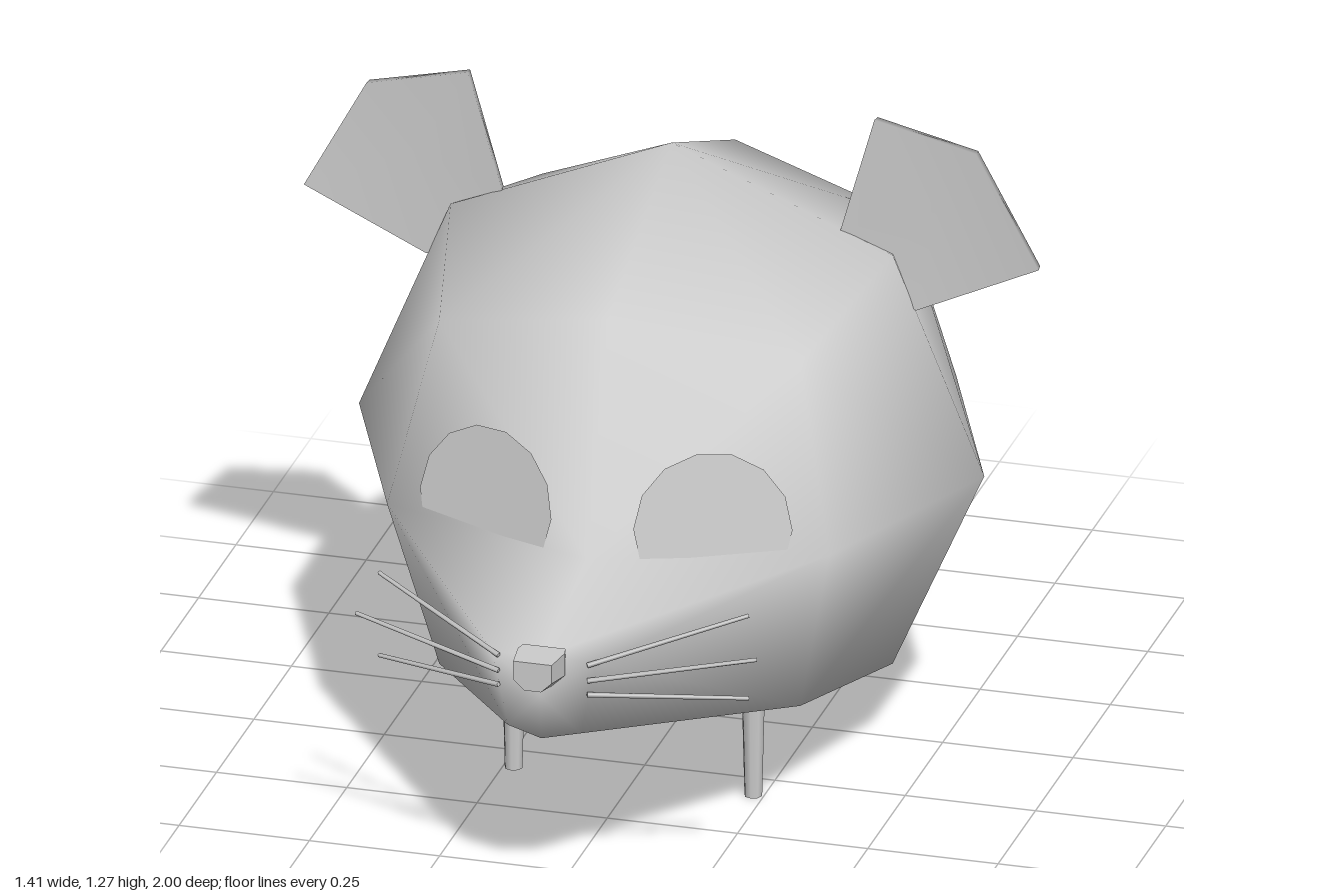
import * as THREE from 'three';
import { mergeVertices, mergeGeometries } from 'three/addons/utils/BufferGeometryUtils.js';

const V = (x, y, z) => new THREE.Vector3(x, y, z);
const mat = new THREE.MeshStandardMaterial({ color: 0xcccccc });
const flat = new THREE.MeshStandardMaterial({ color: 0xcccccc, flatShading: true });
const thin = new THREE.MeshStandardMaterial({ color: 0xcccccc, side: THREE.DoubleSide });

// Skin between rings of points; each ring runs counterclockwise seen from the first ring's end.
function loft(rings) {
  const n = rings[0].length, index = [];
  for (let i = 0; i < rings.length - 1; i++) {
    for (let j = 0; j < n; j++) {
      const k = (j + 1) % n;
      const a = i * n + j, b = i * n + k, c = a + n, d = b + n;
      if (!rings[i][j].equals(rings[i][k])) index.push(a, c, b);
      if (!rings[i + 1][j].equals(rings[i + 1][k])) index.push(b, c, d);
    }
  }
  const g = new THREE.BufferGeometry().setFromPoints(rings.flat());
  g.setIndex(index);
  return g;
}

function smooth(geometry) {
  const g = mergeVertices(geometry, 1e-4);
  g.computeVertexNormals();
  return g;
}

const point = (p, n) => Array.from({ length: n }, () => p.clone());

function add(parent, name, geometry, material = mat) {
  const mesh = new THREE.Mesh(geometry, material);
  mesh.name = name;
  parent.add(mesh);
  return mesh;
}

// Tapered rod from a to b
function rod(parent, name, a, b, ra, rb, sides) {
  const dir = b.clone().sub(a);
  const mesh = add(parent, name, new THREE.CylinderGeometry(rb, ra, dir.length(), sides));
  mesh.position.copy(a).add(b).multiplyScalar(0.5);
  mesh.quaternion.setFromUnitVectors(V(0, 1, 0), dir.normalize());
}

// A cube corner, edge middle or face middle rounded onto the ball; flattened below, blunted in front
function onBall(x, y, z) {
  const p = V(x, y, z).setLength(0.6).add(V(0, 0.58, 0.07));
  if (y < 0 && x === 0 && z === 0) p.y = 0.135;
  else if (y < 0 && (x === 0 || z === 0)) p.y = 0.18;
  if (z > 0 && x === 0 && y === 0) p.z = 0.635;
  return p;
}

// Rounded cube whose lower front is drawn out into a snout
function bodyGeometry() {
  const points = [], index = [];
  for (let axis = 0; axis < 3; axis++) {
    for (const s of [1, -1]) {
      const corner = (u, v) => {
        const c = [0, 0, 0];
        c[axis] = s;
        c[(axis + 1) % 3] = s > 0 ? u : v;
        c[(axis + 2) % 3] = s > 0 ? v : u;
        return onBall(...c);
      };
      const rim = (k) => corner(Math.round(Math.cos(k * Math.PI / 4)), Math.round(Math.sin(k * Math.PI / 4)));
      const triangles = axis === 2 && s > 0 ? 4 : 8; // the front keeps its upper half
      for (let k = 0; k < triangles; k++) {
        index.push(points.length, points.length + 1, points.length + 2);
        points.push(corner(0, 0), rim(k), rim(k + 1));
      }
    }
  }
  const ball = new THREE.BufferGeometry().setFromPoints(points);
  ball.setIndex(index);

  const base = [onBall(1, 0, 1), onBall(0, 0, 1), onBall(-1, 0, 1),
    onBall(-1, -1, 1), onBall(0, -1, 1), onBall(1, -1, 1)];
  const tip = [V(0.1, 0.505, 0.92), V(0, 0.515, 0.94), V(-0.1, 0.505, 0.92),
    V(-0.07, 0.36, 0.92), V(0, 0.35, 0.94), V(0.07, 0.36, 0.92)];
  const snout = loft([point(V(0, 0.44, 0.95), 6), tip, base]);
  return smooth(mergeGeometries([ball, snout]));
}

// Thin six-sided dish, open to the front
function earGeometry(side) {
  const outline = [[0.39, 1.275], [0.325, 1.045], [0.36, 0.94], [0.47, 0.9], [0.705, 1.01], [0.585, 1.23]];
  const ring = (s, z) => {
    const r = outline.map(([x, y]) => V(side * (0.5 + (x - 0.5) * s), 1.09 + (y - 1.09) * s, z));
    return side < 0 ? r.reverse() : r;
  };
  return smooth(loft([ring(0, 0.04), ring(1, 0.073), ring(0.99, 0.055), ring(0.5, 0.016), ring(0, 0.012)]));
}

// Small shield, bevelled towards the front
function noseGeometry() {
  const shield = [[0.045, 0], [-0.045, 0], [-0.045, -0.045], [-0.02, -0.069], [0.02, -0.069], [0.045, -0.045]];
  const ring = (s, z) => shield.map(([x, y]) => V(x * s, 0.527 + y * s, z));
  return loft([point(V(0, 0.5, 1), 6), ring(0.82, 1), ring(1, 0.94), ring(0.9, 0.92)]);
}

function tailGeometry() {
  // z, y, half width, half height
  const path = [[-1, 0.212, 0, 0], [-0.73, 0.217, 0.02, 0.02], [-0.61, 0.278, 0.029, 0.03],
    [-0.52, 0.302, 0.036, 0.035], [-0.41, 0.367, 0.038, 0.036], [-0.36, 0.395, 0.038, 0.036]];
  return loft(path.map(([z, y, w, h]) =>
    [V(-w, y - h, z), V(-w, y + h, z), V(w, y + h, z), V(w, y - h, z)]));
}

export function createModel() {
  const model = new THREE.Group();
  model.name = 'mouse';
  add(model, 'body', bodyGeometry());
  add(model, 'nose', noseGeometry(), flat);
  add(model, 'tail', tailGeometry(), flat);

  for (const side of [1, -1]) {
    const label = side > 0 ? 'left' : 'right';
    add(model, label + 'Ear', earGeometry(side));

    // Disc standing on the face, its lower half sunk in the snout
    const eye = add(model, label + 'Eye', new THREE.CircleGeometry(0.147, 14), thin);
    eye.quaternion.setFromUnitVectors(V(0, 0, 1), V(side * 0.34, 0.18, 1).normalize());
    eye.position.set(side * 0.218, 0.632, 0.553);

    // Whiskers: start y, end x, y, z
    for (const [y, ex, ey, ez] of [[0.503, 0.355, 0.577, 0.79], [0.472, 0.385, 0.513, 0.84], [0.444, 0.355, 0.41, 0.79]]) {
      rod(model, label + 'Whisker', V(side * 0.085, y, 0.93), V(side * ex, ey, ez), 0.005, 0.004, 4);
    }

    for (const [end, z] of [['Front', 0.325], ['Back', -0.19]]) {
      rod(model, label + end + 'Leg', V(side * 0.23, 0, z), V(side * 0.23, 0.24, z), 0.017, 0.023, 8);
    }
  }
  return model;
}
